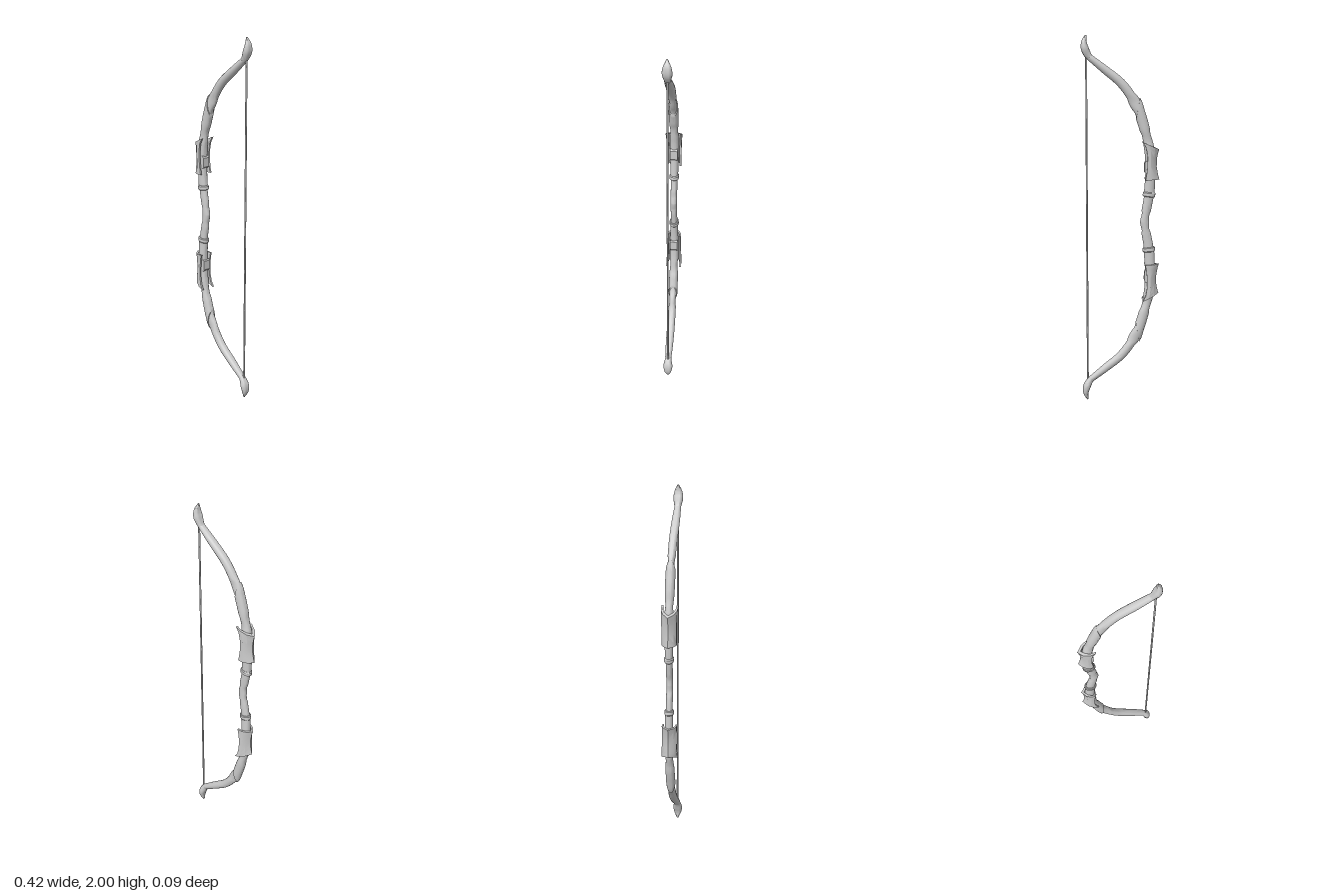
import * as THREE from 'three';
import { toCreasedNormals } from 'three/addons/utils/BufferGeometryUtils.js';

const material = new THREE.MeshStandardMaterial({ color: 0xcccccc, roughness: 0.7 });

// Skin over equal rings of points, capped at both ends; faces always point outward.
function loft(rings, crease) {
  const n = rings[0].length, faces = [], pts = rings.flat();
  const quad = (a, b, c, d) => faces.push([a, b, c], [a, c, d]);
  for (let r = 0; r < rings.length - 1; r++)
    for (let i = 0; i < n; i++) {
      const j = (i + 1) % n, o = r * n;
      quad(o + i, o + j, o + n + j, o + n + i);
    }
  const last = (rings.length - 1) * n;
  for (let i = 0; i < n / 2 - 1; i++) {
    quad(n - 1 - i, n - 2 - i, i + 1, i);
    quad(last + i, last + i + 1, last + n - 2 - i, last + n - 1 - i);
  }
  const centre = pts.reduce((s, p) => s.add(p), new THREE.Vector3()).divideScalar(pts.length);
  const rel = pts.map((p) => p.clone().sub(centre));
  let volume = 0;
  for (const [a, b, c] of faces) volume += rel[a].dot(rel[b].clone().cross(rel[c]));
  const index = faces.flatMap(([a, b, c]) => (volume < 0 ? [a, c, b] : [a, b, c]));
  const geo = new THREE.BufferGeometry().setFromPoints(pts);
  geo.setIndex(index);
  return toCreasedNormals(geo, crease);
}

// Centre line of one half, as height above the middle: x, height, half depth, half width.
const LIMB = [
  [-0.139, -0.06, 0.025, 0.018], [-0.131, 0, 0.025, 0.018], [-0.139, 0.06, 0.025, 0.018],
  [-0.153, 0.14, 0.026, 0.018], [-0.16, 0.25, 0.024, 0.02], [-0.16, 0.33, 0.024, 0.022],
  [-0.152, 0.41, 0.024, 0.021], [-0.13, 0.5, 0.024, 0.021], [-0.098, 0.6, 0.025, 0.021],
  [-0.055, 0.68, 0.025, 0.021], [0, 0.75, 0.024, 0.022], [0.08, 0.815, 0.022, 0.022],
  [0.165, 0.882, 0.017, 0.018],
];
const TIP = [
  [0.15, 0.868, 0.014, 0.014], [0.172, 0.892, 0.019, 0.019], [0.188, 0.925, 0.021, 0.026],
  [0.193, 0.96, 0.015, 0.021], [0.183, 0.997, 0.004, 0.004],
];

function sweep(table) {
  const line = new THREE.CatmullRomCurve3(table.map(([x, h]) => new THREE.Vector3(x, h, 0)));
  const size = new THREE.CatmullRomCurve3(table.map((p) => new THREE.Vector3(p[2], p[3], 0)));
  const last = table.length - 1;
  // Oval section at station k; slant cuts it obliquely, grow thickens it.
  return (k, grow = 0, slant = 0, sides = 16) =>
    Array.from({ length: sides }, (_, i) => {
      const a = (i / sides) * Math.PI * 2;
      const t = THREE.MathUtils.clamp((k - slant * Math.cos(a)) / last, 0, 1);
      const p = line.getPoint(t), d = line.getTangent(t), s = size.getPoint(t);
      const r = Math.cos(a) * (s.x + grow);
      return new THREE.Vector3(p.x + d.y * r, p.y - d.x * r, Math.sin(a) * (s.y + grow));
    });
}

const steps = (a, b, n) => Array.from({ length: n + 1 }, (_, i) => a + ((b - a) * i) / n);

// Open chevron section of the guard: [distance along x 0..1, z], outer skin then inner skin.
const OUTER = [[1, 0.042], [0.65, 0.042], [0.3, 0.029], [0, 0], [0.3, -0.029], [0.65, -0.042], [1, -0.042]];
const INNER = [[1, -0.032], [0.7, -0.032], [0.42, -0.021], [0.2, 0], [0.42, 0.021], [0.7, 0.032], [1, 0.032]];
// Guard levels: height, front x, rear x, rise of the rear corner, z scale.
const GUARD = [
  [0.232, -0.21, -0.132, 0.0, 0.95], [0.255, -0.203, -0.137, 0.0, 0.93],
  [0.3, -0.195, -0.143, 0.004, 0.92], [0.345, -0.196, -0.143, 0.015, 0.95],
  [0.375, -0.202, -0.135, 0.03, 1.0], [0.395, -0.208, -0.118, 0.04, 1.03],
];

export function createModel() {
  const bow = new THREE.Group();
  bow.name = 'bow';
  const limb = sweep(LIMB), tip = sweep(TIP);

  const guardRings = GUARD.map(([h, x0, x1, rise, zs]) =>
    [...OUTER, ...INNER].map(([t, z]) =>
      new THREE.Vector3(x0 + (x1 - x0) * t, h + rise * t, z * zs)));

  // Small pad on the string side, between the guard arms
  const padRings = [[0.265, -0.136], [0.272, -0.129], [0.322, -0.129], [0.332, -0.136]].map(([h, x]) =>
    [[-0.155, -0.02], [x, -0.02], [x, 0.02], [-0.155, 0.02]].map(([px, z]) => new THREE.Vector3(px, h, z)));

  const parts = [
    ['limb', steps(1, 12, 44).map((k) => limb(k)), 0.7],
    ['gripSleeve', steps(3.1, 6, 10).map((k) => limb(k, 0.003)), 0.7],
    ['gripCollar', [[2.98, 0.004], [3.02, 0.008], [3.18, 0.008], [3.23, 0.004]].map(([k, g]) => limb(k, g)), 0.6],
    // Thicker lower limb layer ending in an oblique cut
    ['limbLayer', steps(0, 1, 14).map((u) => limb(5.6 + 2.55 * u, 0.003 + 0.002 * u, 0.5 * u * u)), 0.7],
    ['limbTip', steps(0, 4, 16).map((k) => tip(k)), 0.9],
    ['guard', guardRings, 0.55],
    ['guardPad', padRings, 0.3],
  ];

  // Upper half and its mirror image below the middle
  for (const [side, s] of [['upper', 1], ['lower', -1]]) {
    const half = new THREE.Group();
    half.name = side + 'Half';
    for (const [name, rings, crease] of parts) {
      const placed = rings.map((ring) => ring.map((p) => new THREE.Vector3(p.x, 1 + s * p.y, p.z)));
      const mesh = new THREE.Mesh(loft(placed, crease), material);
      mesh.name = name;
      half.add(mesh);
    }
    bow.add(half);
  }

  // String
  const string = new THREE.Mesh(new THREE.CylinderGeometry(0.005, 0.005, 1.78, 8), material);
  string.name = 'string';
  string.position.set(0.182, 1, 0);
  bow.add(string);
  return bow;
}
